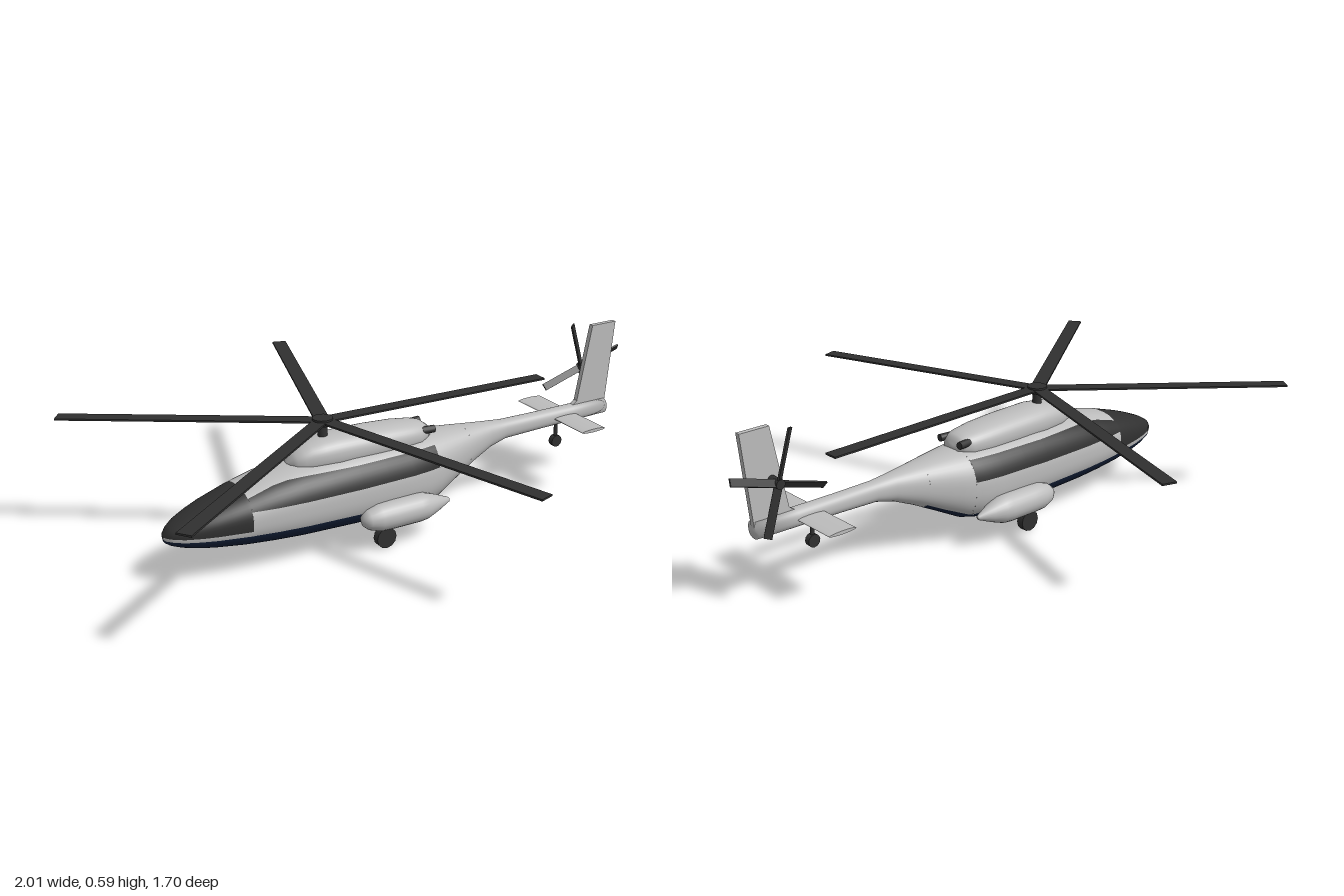
import * as THREE from 'three';

const mat = (name, color) => Object.assign(new THREE.MeshStandardMaterial({ color }), { name });

// Body stations: [x, bottom, top, half width]
const HULL = [
  [-0.852, 0.165, 0.165, 0], [-0.846, 0.15, 0.185, 0.02], [-0.83, 0.14, 0.2, 0.038], [-0.8, 0.13, 0.217, 0.06],
  [-0.75, 0.118, 0.238, 0.08], [-0.7, 0.109, 0.256, 0.095], [-0.6, 0.096, 0.286, 0.116], [-0.5, 0.087, 0.31, 0.129],
  [-0.4, 0.08, 0.325, 0.136], [-0.2, 0.073, 0.335, 0.14], [0, 0.071, 0.332, 0.135], [0.07, 0.073, 0.33, 0.127],
  [0.12, 0.085, 0.328, 0.116], [0.2, 0.127, 0.322, 0.092], [0.3, 0.178, 0.313, 0.063], [0.38, 0.213, 0.306, 0.042],
  [0.45, 0.231, 0.3, 0.032], [0.6, 0.235, 0.298, 0.03], [0.9, 0.24, 0.298, 0.03], [0.903, 0.269, 0.269, 0]];
const COWL = [
  [-0.412, 0.322, 0.322, 0], [-0.408, 0.31, 0.337, 0.02], [-0.39, 0.29, 0.362, 0.045], [-0.34, 0.285, 0.387, 0.066],
  [-0.25, 0.28, 0.397, 0.078], [-0.1, 0.28, 0.393, 0.078], [0, 0.28, 0.387, 0.075], [0.07, 0.285, 0.378, 0.066],
  [0.1, 0.3, 0.37, 0.052], [0.12, 0.31, 0.355, 0.036], [0.123, 0.332, 0.332, 0]];
const POW = 0.85;

// Linear lookup in a table keyed by its first column
function lookup(table, x) {
  let i = 0;
  while (i < table.length - 2 && x > table[i + 1][0]) i++;
  const [a, b] = [table[i], table[i + 1]];
  const t = THREE.MathUtils.clamp((x - a[0]) / (b[0] - a[0]), 0, 1);
  return a.map((v, k) => v + (b[k] - v) * t);
}
const bend = (v, p) => Math.sign(v) * Math.abs(v) ** p;

// Point on a rounded section; angle runs from the keel (-90°) to the spine (+90°)
function surface(table, x, angle) {
  const [px, lo, hi, w] = lookup(table, x);
  return new THREE.Vector3(px, (lo + hi) / 2 + (hi - lo) / 2 * bend(Math.sin(angle), POW), w * bend(Math.cos(angle), POW));
}
function angleAt(table, x, y) {
  const [, lo, hi] = lookup(table, x);
  const s = hi > lo ? (2 * y - lo - hi) / (hi - lo) : 0;
  return Math.asin(bend(THREE.MathUtils.clamp(s, -1, 1), 1 / POW));
}

// Skin panel covering both sides between two height lines (null means keel or spine)
function panel(table, x0, x1, lower, upper, rows = 10) {
  const inner = table.map(s => s[0]).filter(x => x > x0 + 1e-4 && x < x1 - 1e-4);
  const stops = [x0, ...inner, x1], xs = [];
  stops.forEach((x, i) => {
    xs.push(x);
    if (i < stops.length - 1) xs.push((x + stops[i + 1]) / 2);
  });
  const pos = [], nor = [], idx = [];
  const first = table[0][0], last = table[table.length - 1][0];
  for (const side of [1, -1]) {
    const base = pos.length / 3;
    for (const x of xs) {
      const a0 = lower ? angleAt(table, x, lower(x)) : -Math.PI / 2;
      const a1 = upper ? angleAt(table, x, upper(x)) : Math.PI / 2;
      for (let j = 0; j <= rows; j++) {
        const a = a0 + (a1 - a0) * j / rows, p = surface(table, x, a);
        const dx = surface(table, Math.min(x + 0.012, last), a).sub(surface(table, Math.max(x - 0.012, first), a));
        const da = surface(table, x, a + 0.04).sub(surface(table, x, a - 0.04));
        const n = dx.cross(da);
        if (n.length() < 1e-9) n.set(x < 0 ? -1 : 1, 0, 0);
        n.normalize();
        pos.push(p.x, p.y, p.z * side);
        nor.push(n.x, n.y, n.z * side);
      }
    }
    for (let i = 0; i < xs.length - 1; i++) for (let j = 0; j < rows; j++) {
      const a = base + i * (rows + 1) + j, b = a + rows + 1;
      if (side > 0) idx.push(a, b, b + 1, a, b + 1, a + 1);
      else idx.push(a, b + 1, b, a, a + 1, b + 1);
    }
  }
  const g = new THREE.BufferGeometry();
  g.setAttribute('position', new THREE.Float32BufferAttribute(pos, 3));
  g.setAttribute('normal', new THREE.Float32BufferAttribute(nor, 3));
  g.setIndex(idx);
  return g;
}

export function createModel() {
  const root = new THREE.Group();
  root.name = 'helicopter';
  const grey = mat('light grey paint', 0xbcbcbc);
  const dark = mat('dark grey', 0x303030);
  const navy = mat('navy paint', 0x14213a);

  const add = (name, geometry, material, x = 0, y = 0, z = 0, parent = root) => {
    const m = new THREE.Mesh(geometry, material);
    m.name = name;
    m.position.set(x, y, z);
    parent.add(m);
    return m;
  };
  const rod = (name, from, to, r, material) => {
    const a = new THREE.Vector3(...from), b = new THREE.Vector3(...to), d = b.clone().sub(a);
    const m = add(name, new THREE.CylinderGeometry(r, r, d.length(), 12), material);
    m.position.copy(a).add(b).multiplyScalar(0.5);
    m.quaternion.setFromUnitVectors(new THREE.Vector3(0, 1, 0), d.normalize());
    return m;
  };

  // Fuselage, divided along its paint lines
  const line = table => x => lookup(table, x)[1];
  const bellyLine = line([[-0.852, 0.162], [-0.4, 0.147], [0, 0.138], [0.1, 0.105], [0.2, 0.147], [0.27, 0.181]]);
  const noseLine = line([[-0.852, 0.172], [-0.59, 0.171]]);
  const sillLine = () => 0.235;
  const windowTop = line([[-0.59, 0.27], [-0.48, 0.3], [-0.4, 0.305], [0.11, 0.304]]);
  const NOSE = -0.852, SCREEN = -0.59, CABIN = 0.11, BELLY = 0.27, TAIL = 0.903;
  add('belly', panel(HULL, NOSE, BELLY, null, bellyLine), navy);
  add('noseStrip', panel(HULL, NOSE, SCREEN, bellyLine, noseLine, 3), grey);
  add('windscreen', panel(HULL, NOSE, SCREEN, noseLine, null, 14), dark);
  add('cabinSide', panel(HULL, SCREEN, CABIN, bellyLine, sillLine), grey);
  add('windowBand', panel(HULL, SCREEN, CABIN, sillLine, windowTop, 6), dark);
  add('roof', panel(HULL, SCREEN, CABIN, windowTop, null), grey);
  add('rearFuselage', panel(HULL, CABIN, BELLY, bellyLine, null, 16), grey);
  add('tailBoom', panel(HULL, BELLY, TAIL, null, null, 20), grey);

  // Engine cowling on the roof
  add('engineCowling', panel(COWL, -0.412, 0.123, null, null, 20), grey);

  // Exhausts, side pods and main wheels, mirrored
  const podProfile = [[0, -0.212], [0.02, -0.207], [0.034, -0.19], [0.047, -0.15], [0.049, -0.1], [0.049, 0],
    [0.046, 0.03], [0.03, 0.075], [0.008, 0.127], [0, 0.13]].map(p => new THREE.Vector2(...p));
  for (const s of [1, -1]) {
    rod('exhaust', [0.08, 0.35, 0.045 * s], [0.127, 0.35, 0.05 * s], 0.013, dark);
    add('sidePod', new THREE.LatheGeometry(podProfile, 24), grey, 0, 0.123, 0.143 * s).rotation.z = -Math.PI / 2;
    rod('mainWheel', [-0.115, 0.037, 0.114 * s], [-0.115, 0.037, 0.14 * s], 0.037, dark);
    rod('wheelStrut', [-0.115, 0.1, 0.08 * s], [-0.115, 0.04, 0.122 * s], 0.008, dark);
    rod('podStrut', [-0.115, 0.1, 0.13 * s], [-0.115, 0.04, 0.127 * s], 0.009, dark);
  }

  // Tail wheel
  rod('tailWheel', [0.69, 0.17, -0.01], [0.69, 0.17, 0.01], 0.022, dark);
  rod('tailStrut', [0.69, 0.17, 0], [0.69, 0.245, 0], 0.007, dark);

  // Tail fin and stabilizer
  const finShape = new THREE.Shape([[0.74, 0.285], [0.775, 0.31], [0.83, 0.587], [0.935, 0.587], [0.9, 0.25], [0.75, 0.25]]
    .map(p => new THREE.Vector2(...p)));
  add('tailFin', new THREE.ExtrudeGeometry(finShape, { depth: 0.018, bevelEnabled: false }), grey, 0, 0, -0.009);
  const wing = new THREE.CylinderGeometry(1, 1, 0.38, 20).rotateX(Math.PI / 2).scale(0.051, 0.006, 1);
  add('stabilizer', wing, grey, 0.71, 0.268, 0);

  // Main rotor: five slightly drooping blades
  const rotor = new THREE.Group();
  rotor.name = 'mainRotor';
  rotor.position.set(-0.275, 0.446, 0);
  root.add(rotor);
  add('mast', new THREE.CylinderGeometry(0.015, 0.017, 0.08, 16), dark, 0, -0.035, 0, rotor);
  add('hub', new THREE.CylinderGeometry(0.034, 0.034, 0.022, 20), dark, 0, -0.002, 0, rotor);
  const blade = new THREE.BoxGeometry(0.885, 0.006, 0.05).translate(0.4425, 0, 0).rotateZ(-0.018);
  for (let i = 0; i < 5; i++) add('blade', blade, dark, 0, 0, 0, rotor).rotation.y = i * Math.PI * 0.4;

  // Tail rotor beside the fin: four blades
  const tailRotor = new THREE.Group();
  tailRotor.name = 'tailRotor';
  tailRotor.position.set(0.832, 0.415, -0.046);
  root.add(tailRotor);
  const shaft = new THREE.CylinderGeometry(0.016, 0.016, 0.055, 14).rotateX(Math.PI / 2);
  add('tailHub', shaft, dark, 0, 0, 0.016, tailRotor);
  const tailBlade = new THREE.BoxGeometry(0.173, 0.026, 0.006).rotateX(0.6).translate(0.0865, 0, 0);
  for (let i = 0; i < 4; i++) add('tailBlade', tailBlade, dark, 0, 0, 0, tailRotor).rotation.z = 0.29 + i * Math.PI / 2;

  return root;
}
